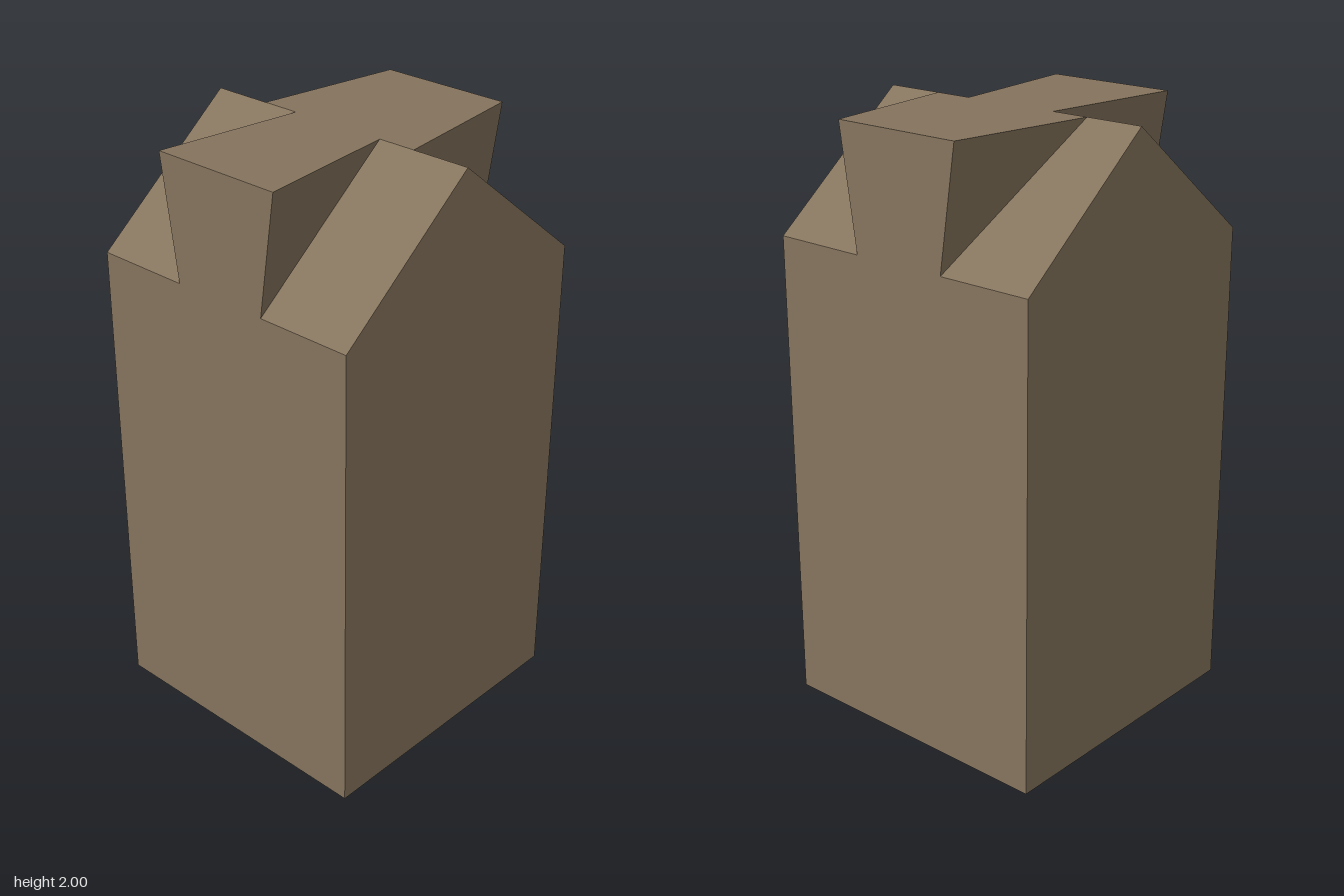
import * as THREE from 'three';

const HALF = 0.5, EAVE = 1.6, TOP = 2;   // half width, eave height, total height
const NECK = 0.17, HEAD = 0.23;          // half widths of the dovetail at its foot and top

// Mirror a face across x, keeping it facing outward
const mirror = face => face.map(([x, y, z]) => [-x, y, z]).reverse();

// Flat-shaded geometry from convex faces
function fromFaces(faces) {
  const pos = [];
  for (const f of faces)
    for (let i = 1; i < f.length - 1; i++) pos.push(...f[0], ...f[i], ...f[i + 1]);
  const geo = new THREE.BufferGeometry();
  geo.setAttribute('position', new THREE.Float32BufferAttribute(pos, 3));
  geo.computeVertexNormals();
  return geo;
}

// Half of the post, facing +z; ridge = half width of the tail at the ridge line
function postHalf(name, ridge, material) {
  const group = new THREE.Group();
  group.name = name;
  const add = (part, faces) => {
    const mesh = new THREE.Mesh(fromFaces(faces), material);
    mesh.name = part;
    group.add(mesh);
  };

  // Square shaft: end wall, underside and the two gabled sides
  const side = [[HALF, 0, HALF], [HALF, 0, 0], [HALF, TOP, 0], [HALF, EAVE, HALF]];
  add('shaft', [
    [[-HALF, 0, HALF], [HALF, 0, HALF], [HALF, EAVE, HALF], [-HALF, EAVE, HALF]],
    [[-HALF, 0, 0], [HALF, 0, 0], [HALF, 0, HALF], [-HALF, 0, HALF]],
    side, mirror(side),
  ]);

  // Sloped shoulders on both sides of the tail
  const shoulder = [[NECK, EAVE, HALF], [HALF, EAVE, HALF], [HALF, TOP, 0], [ridge, TOP, 0]];
  add('shoulders', [shoulder, mirror(shoulder)]);

  // Dovetail: flared end, flat top and undercut cheeks
  const cheek = [[HEAD, TOP, HALF], [NECK, EAVE, HALF], [ridge, TOP, 0]];
  add('dovetail', [
    [[-NECK, EAVE, HALF], [NECK, EAVE, HALF], [HEAD, TOP, HALF], [-HEAD, TOP, HALF]],
    [[-HEAD, TOP, HALF], [HEAD, TOP, HALF], [ridge, TOP, 0], [-ridge, TOP, 0]],
    cheek, mirror(cheek),
  ]);
  return group;
}

export function createModel() {
  const wood = new THREE.MeshStandardMaterial({ color: 0x85745d });
  wood.name = 'brown wood';

  const model = new THREE.Group();
  model.name = 'dovetailPost';
  const front = postHalf('frontHalf', 0.17, wood);   // tail narrows towards the ridge
  const back = postHalf('backHalf', 0.3, wood);      // tail widens towards the ridge
  back.rotation.y = Math.PI;
  model.add(front, back);
  return model;
}
